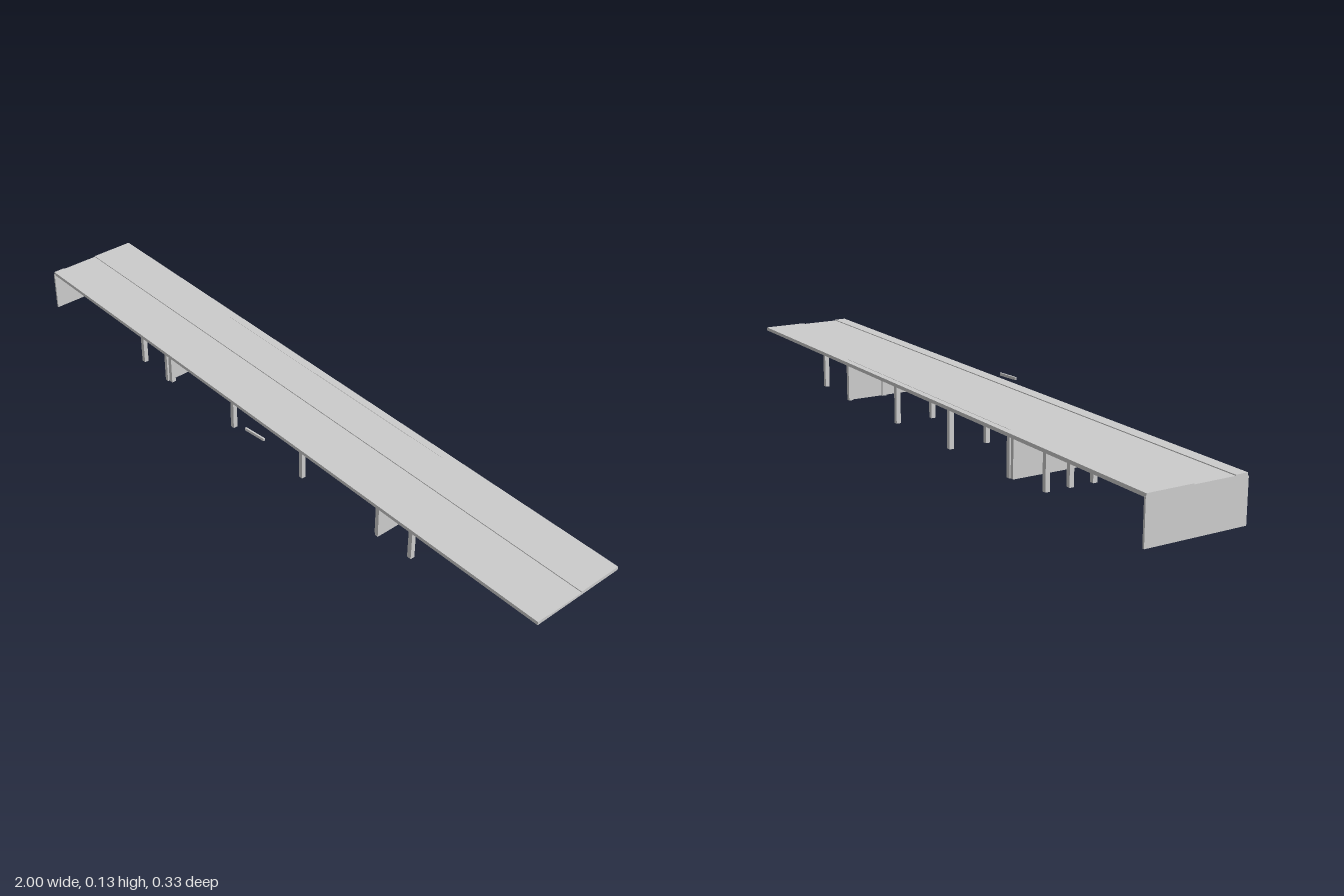
import * as THREE from 'three';

export function createModel() {
  const model = new THREE.Group();
  const grey = new THREE.MeshStandardMaterial({ color: 0xcccccc, flatShading: true });
  const H = 0.115; // underside of the deck

  // box given by its min and max corners
  function block(name, x0, x1, y0, y1, z0, z1) {
    const mesh = new THREE.Mesh(new THREE.BoxGeometry(x1 - x0, y1 - y0, z1 - z0), grey);
    mesh.position.set((x0 + x1) / 2, (y0 + y1) / 2, (z0 + z1) / 2);
    mesh.name = name;
    model.add(mesh);
    return mesh;
  }

  // roof deck: one profile with a shallow full-length recess in its top
  const profile = new THREE.Shape([
    [-0.118, H], [0.164, H], [0.164, 0.125], [0.033, 0.125],
    [0.033, 0.1225], [-0.083, 0.1225], [-0.083, 0.125], [-0.118, 0.125],
  ].map(([a, b]) => new THREE.Vector2(a, b)));
  const deckGeometry = new THREE.ExtrudeGeometry(profile, { depth: 2, bevelEnabled: false });
  deckGeometry.rotateY(Math.PI / 2).translate(-1, 0, 0);
  const deck = new THREE.Mesh(deckGeometry, grey);
  deck.name = 'roofDeck';
  model.add(deck);

  // low ridge near the back edge
  block('roofRidge', -0.44, 0.44, 0.124, 0.1257, -0.146, -0.14);

  // end wall and the two cross walls
  block('endWall', -1, -0.994, 0, H + 0.002, -0.165, 0.121);
  block('leftCrossWall', 0.447, 0.457, 0, H, -0.142, 0.097);
  block('rightCrossWall', -0.453, -0.442, 0, H, -0.142, 0.097);

  // columns
  const s = 0.0065;
  const column = (x, z) => block('column', x - s, x + s, 0, H, z - s, z + s);
  for (const x of [-0.435, -0.145, 0.148, 0.446]) {
    for (const z of [0.085, -0.027, -0.139]) column(x, z);
  }
  for (let i = 0; i < 4; i++) {
    const z = 0.085 - 0.07 * i;
    column(-0.572, z); // straight row
    column(0.565 + 0.0237 * i, z); // slanted row
  }

  // small detached sign board in front
  const sign = block('signBoard', 0.007, 0.077, 0.115, 0.123, 0.158, 0.163);
  sign.rotation.y = 0.1;

  return model;
}
